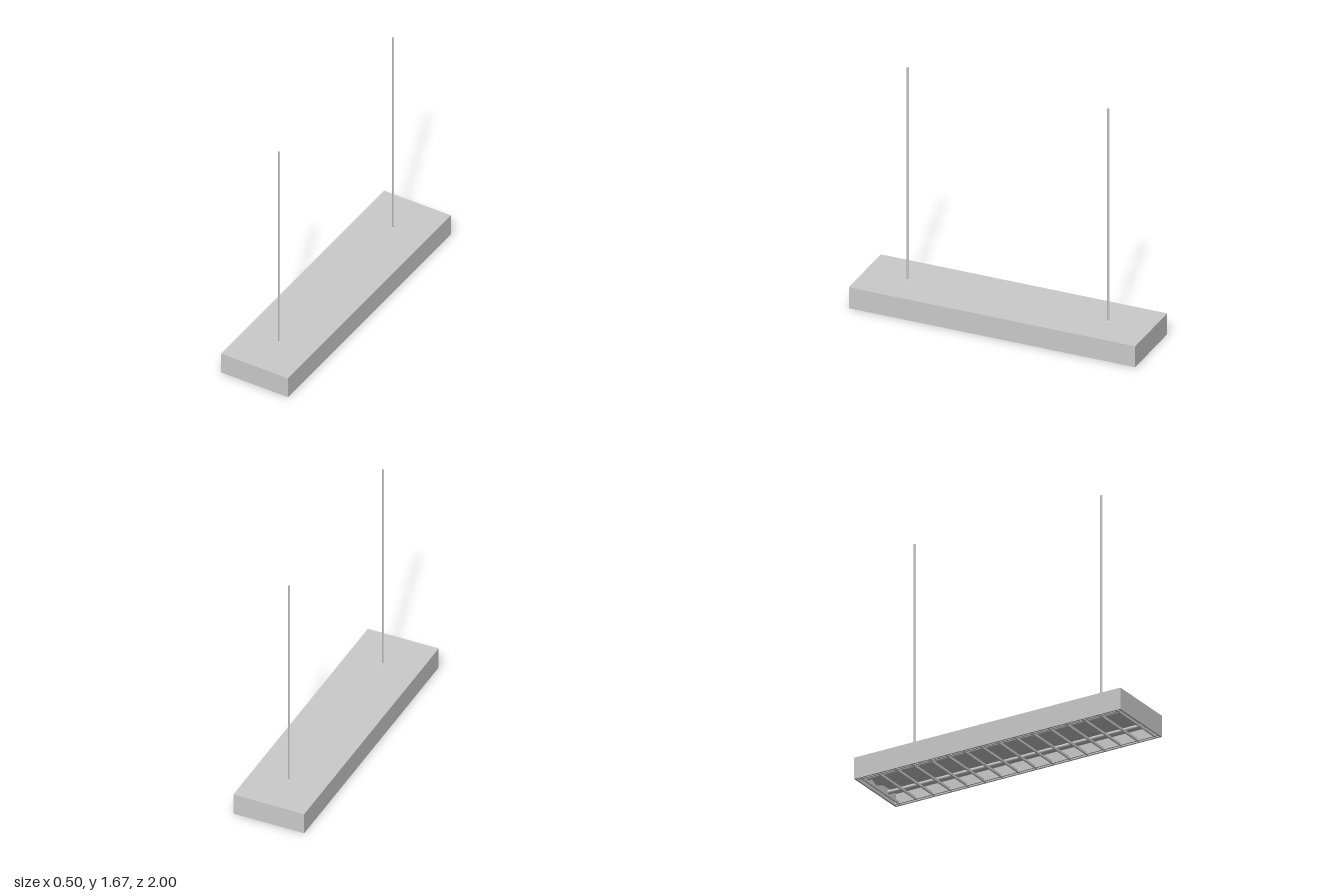
import * as THREE from 'three';

const W = 0.5, H = 0.15, L = 2, T = 0.012;

export function createModel() {
  const model = new THREE.Group();
  const grey = new THREE.MeshStandardMaterial({ color: 0xcccccc });
  const faceted = new THREE.MeshStandardMaterial({ color: 0xcccccc, flatShading: true });

  const add = (name, geometry, x, y, z, parent = model, material = grey) => {
    const mesh = new THREE.Mesh(geometry, material);
    mesh.name = name;
    mesh.position.set(x, y, z);
    parent.add(mesh);
  };
  const box = (name, w, h, d, x, y, z, parent) =>
    add(name, new THREE.BoxGeometry(w, h, d), x, y, z, parent);

  // Housing: shallow tray, open underneath
  const housing = new THREE.Group();
  housing.name = 'housing';
  model.add(housing);
  box('topPanel', W, T, L, 0, H - T / 2, 0, housing);
  for (const s of [-1, 1]) {
    box('sideWall', T, H - T, L, s * (W - T) / 2, (H - T) / 2, 0, housing);
    box('endWall', W - 2 * T, H - T, T, 0, (H - T) / 2, s * (L - T) / 2, housing);
  }

  // Reflector: flat wings with a shallow ridge between the lamps
  const innerHalf = W / 2 - T, innerLength = L - 2 * T;
  const profile = new THREE.Shape([
    [-innerHalf, H - T], [-innerHalf, 0.085], [-0.09, 0.085], [0, 0.05],
    [0.09, 0.085], [innerHalf, 0.085], [innerHalf, H - T],
  ].map(([x, y]) => new THREE.Vector2(x, y)));
  add('reflector', new THREE.ExtrudeGeometry(profile, { depth: innerLength, bevelEnabled: false }),
    0, 0, -innerLength / 2);

  // Two lamp tubes
  for (const x of [-0.125, 0.125]) {
    const tube = new THREE.CylinderGeometry(0.014, 0.014, 1.95, 16).rotateX(Math.PI / 2);
    add('lampTube', tube, x, 0.048, 0);
  }

  // Louvre: slim frame and evenly spaced cross bars
  const louvre = new THREE.Group();
  louvre.name = 'louvre';
  model.add(louvre);
  const barHeight = 0.016, barY = 0.01;
  for (const s of [-1, 1]) {
    box('sideBar', 0.01, barHeight, innerLength, s * 0.222, barY, 0, louvre);
    box('endBar', W - 2 * T, barHeight, 0.01, 0, barY, s * 0.96, louvre);
  }
  const bars = 14;
  for (let i = 1; i <= bars; i++) {
    const z = -0.96 + (1.92 * i) / (bars + 1);
    box('crossBar', W - 2 * T, barHeight, 0.01, 0, barY, z, louvre);
  }

  // Suspension rods: slim, four-sided, with small collars
  const top = 1.675;
  for (const z of [-0.7, 0.7]) {
    add('suspensionRod', new THREE.CylinderGeometry(0.008, 0.008, top - H, 4),
      0, (top + H) / 2, z, model, faceted);
    add('rodCollar', new THREE.CylinderGeometry(0.008, 0.014, 0.004, 4),
      0, H + 0.002, z, model, faceted);
  }

  return model;
}
